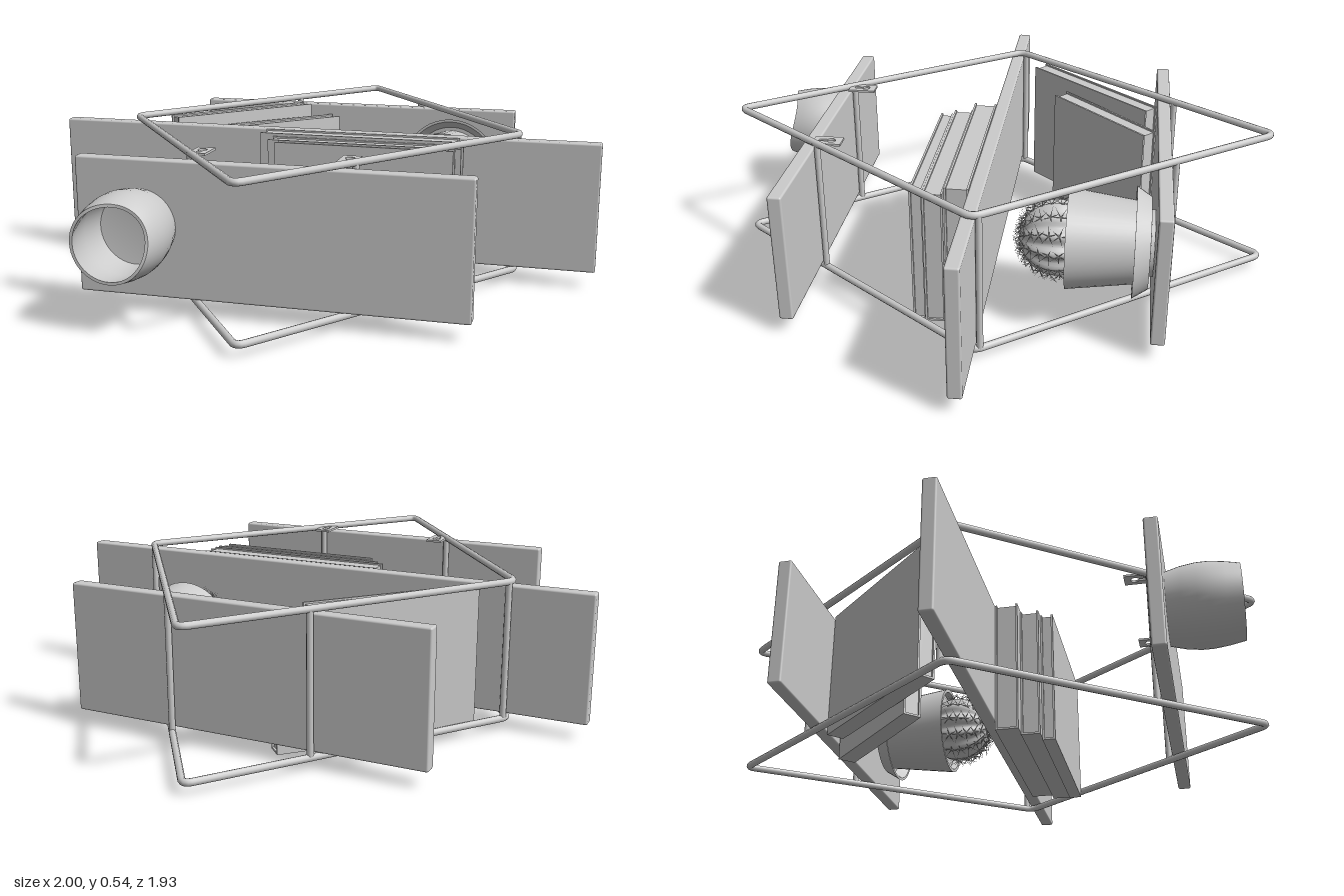
import * as THREE from 'three';
import { mergeGeometries, toCreasedNormals } from 'three/addons/utils/BufferGeometryUtils.js';
import { RoundedBoxGeometry } from 'three/addons/geometries/RoundedBoxGeometry.js';

const grey = new THREE.MeshStandardMaterial({ color: 0xcccccc, side: THREE.DoubleSide });

function add(parent, geometry, name, x = 0, y = 0, z = 0) {
  const mesh = new THREE.Mesh(geometry, grey);
  mesh.name = name;
  mesh.position.set(x, y, z);
  parent.add(mesh);
  return mesh;
}

// Turned form whose axis is +y, with sharp profile corners kept
function turned(profile, sides = 40) {
  const points = profile.map(([r, h]) => new THREE.Vector2(r, h));
  return new THREE.LatheGeometry(points, sides);
}

// Diamond loop of rod with small rounded corners
function diamondGeometry() {
  const corners = [[0.725, 0], [0, 0.968], [-0.725, 0], [0, -0.968]]
    .map(([x, z]) => new THREE.Vector3(x, 0, z));
  const path = new THREE.CurvePath();
  const toward = (a, b) => a.clone().add(b.clone().sub(a).setLength(0.035));
  corners.forEach((c, i) => {
    const prev = corners[(i + 3) % 4], next = corners[(i + 1) % 4];
    path.add(new THREE.QuadraticBezierCurve3(toward(c, prev), c, toward(c, next)));
    path.add(new THREE.LineCurve3(toward(c, next), toward(next, c)));
  });
  return new THREE.TubeGeometry(path, 480, 0.0125, 10, true);
}

// Book lying flat: width on x, depth on y with the spine at -y, thickness on z
function makeBook(name, w, d, t) {
  const book = new THREE.Group();
  book.name = name;
  const c = 0.007;
  for (const s of [-1, 1]) add(book, new THREE.BoxGeometry(w, d, c), 'cover', 0, 0, s * (t - c) / 2);
  add(book, new THREE.BoxGeometry(w, c, t), 'spine', 0, -(d - c) / 2, 0);
  add(book, new THREE.BoxGeometry(w - 0.014, d - 0.012, t - 2 * c), 'pages', 0, 0, 0);
  return book;
}

// Keyhole hanging plate
function hangerGeometry() {
  const plate = new THREE.Shape([[-0.03, -0.05], [0.03, -0.05], [0.03, 0.05], [-0.03, 0.05]]
    .map(([x, y]) => new THREE.Vector2(x, y)));
  const hole = new THREE.Path();
  hole.absarc(0, -0.012, 0.015, Math.PI * 0.35, Math.PI * 0.65, true);
  hole.lineTo(-0.007, 0.025);
  hole.absarc(0, 0.025, 0.007, Math.PI, 0, true);
  hole.closePath();
  plate.holes.push(hole);
  return new THREE.ExtrudeGeometry(plate, { depth: 0.008, bevelEnabled: false }).rotateX(Math.PI / 2);
}

function makeCup() {
  const geometry = turned([[0, 0], [0.122, 0], [0.135, 0.05], [0.142, 0.1], [0.142, 0.14], [0.136, 0.19],
    [0.126, 0.242], [0.116, 0.242], [0.126, 0.19], [0.131, 0.13], [0.12, 0.04], [0, 0.025]], 48);
  // The rim dips on one side
  const p = geometry.attributes.position;
  for (let i = 0; i < p.count; i++) {
    const a = Math.atan2(p.getZ(i), p.getX(i)) + Math.PI / 4;
    const lift = THREE.MathUtils.smoothstep(p.getY(i), 0.15, 0.242);
    p.setY(i, p.getY(i) - 0.035 * lift * Math.max(0, Math.cos(a)) ** 2);
  }
  return toCreasedNormals(geometry, 0.7);
}

function makePlant() {
  const plant = new THREE.Group();
  plant.name = 'pottedCactus';
  add(plant, toCreasedNormals(turned([[0, 0], [0.112, 0], [0.112, 0.012], [0.155, 0.014], [0.188, 0.065],
    [0.178, 0.065], [0.15, 0.028], [0, 0.028]]), 0.5), 'saucer');
  add(plant, toCreasedNormals(turned([[0, 0.028], [0.136, 0.028], [0.171, 0.287], [0.158, 0.287],
    [0.154, 0.262], [0, 0.262]]), 0.5), 'pot');

  // Ribbed ball
  const ribs = 12, radius = 0.128, centre = 0.32;
  const ribbed = a => 0.94 + 0.06 * Math.cos(ribs * a);
  const ball = new THREE.SphereGeometry(radius, 96, 24);
  const p = ball.attributes.position;
  for (let i = 0; i < p.count; i++) {
    const k = ribbed(Math.atan2(p.getZ(i), p.getX(i)));
    p.setXYZ(i, p.getX(i) * k, p.getY(i), p.getZ(i) * k);
  }
  ball.computeVertexNormals();
  add(plant, ball, 'cactus', 0, centre, 0);

  // Clusters of spines along each rib
  const up = new THREE.Vector3(0, 1, 0), spines = [];
  for (let i = 0; i < ribs; i++) {
    for (let j = 0; j < 6; j++) {
      const a = i / ribs * Math.PI * 2, e = -0.1 + j * 0.27;
      const out = new THREE.Vector3(Math.cos(a) * Math.cos(e), Math.sin(e), Math.sin(a) * Math.cos(e));
      const side = new THREE.Vector3(-Math.sin(a), 0, Math.cos(a));
      const along = new THREE.Vector3().crossVectors(side, out);
      for (let k = 0; k < 5; k++) {
        const b = k / 5 * Math.PI * 2 + i + j;
        const dir = out.clone().multiplyScalar(0.55)
          .addScaledVector(side, Math.cos(b)).addScaledVector(along, Math.sin(b)).normalize();
        const spine = new THREE.ConeGeometry(0.0018, 0.045, 4).translate(0, 0.0225, 0);
        spine.applyQuaternion(new THREE.Quaternion().setFromUnitVectors(up, dir));
        spines.push(spine.translate(out.x * radius * 0.99, out.y * radius * 0.99, out.z * radius * 0.99));
      }
    }
  }
  add(plant, mergeGeometries(spines), 'spines', 0, centre, 0);
  return plant;
}

export function createModel() {
  const model = new THREE.Group();
  model.name = 'diamondWallShelf';

  // Two diamond loops
  const diamond = diamondGeometry();
  add(model, diamond, 'frontFrame', 0, 0.043, 0);
  add(model, diamond, 'backFrame', 0, 0.532, 0);

  // Planks, each carried by a pair of cross rods
  const planks = [['lowerPlank', 1.3, -0.587], ['middlePlank', 2, 0.016], ['upperPlank', 1.3, 0.641]];
  for (const [name, width, z] of planks) {
    add(model, new RoundedBoxGeometry(width, 0.458, 0.048, 2, 0.007), name, 0, 0.287, z);
    const rodZ = z - 0.036, rodX = 0.725 * (1 - Math.abs(rodZ) / 0.968);
    for (const s of [-1, 1]) {
      add(model, new THREE.CylinderGeometry(0.0115, 0.0115, 0.489, 10), 'crossRod', s * rodX, 0.2875, rodZ);
    }
  }

  // Hanging plates
  for (const [x, z] of [[-0.248, 0.567], [0.244, 0.573]]) {
    add(model, hangerGeometry(), 'hanger', x, 0.535, z);
  }

  // Stacked books: [width, depth, thickness, x, y, z]
  [[0.71, 0.49, 0.082, 0.16, 0.27, 0.081], [0.685, 0.485, 0.068, 0.197, 0.262, 0.156],
    [0.625, 0.495, 0.046, 0.207, 0.258, 0.213]].forEach(([w, d, t, x, y, z], i) => {
    const book = makeBook('stackedBook' + (i + 1), w, d, t);
    book.position.set(x, y, z);
    model.add(book);
  });

  // Leaning books: [width, depth, thickness, x, y, z, tilt]
  [[0.605, 0.475, 0.064, -0.409, 0.283, -0.315, 0.835], [0.492, 0.475, 0.064, -0.257, 0.2375, -0.362, 0.789]]
    .forEach(([w, d, t, x, y, z, tilt], i) => {
      const book = makeBook('leaningBook' + (i + 1), w, d, t);
      book.position.set(x, y, z);
      book.rotation.y = tilt;
      model.add(book);
    });

  // Cup on the upper plank
  const cup = add(model, makeCup(), 'cup', -0.427, 0.298, 0.665);
  cup.rotation.x = Math.PI / 2;

  // Cactus on the lower plank
  const plant = makePlant();
  plant.position.set(0.405, 0.297, -0.562);
  plant.rotation.x = Math.PI / 2;
  model.add(plant);

  return model;
}
